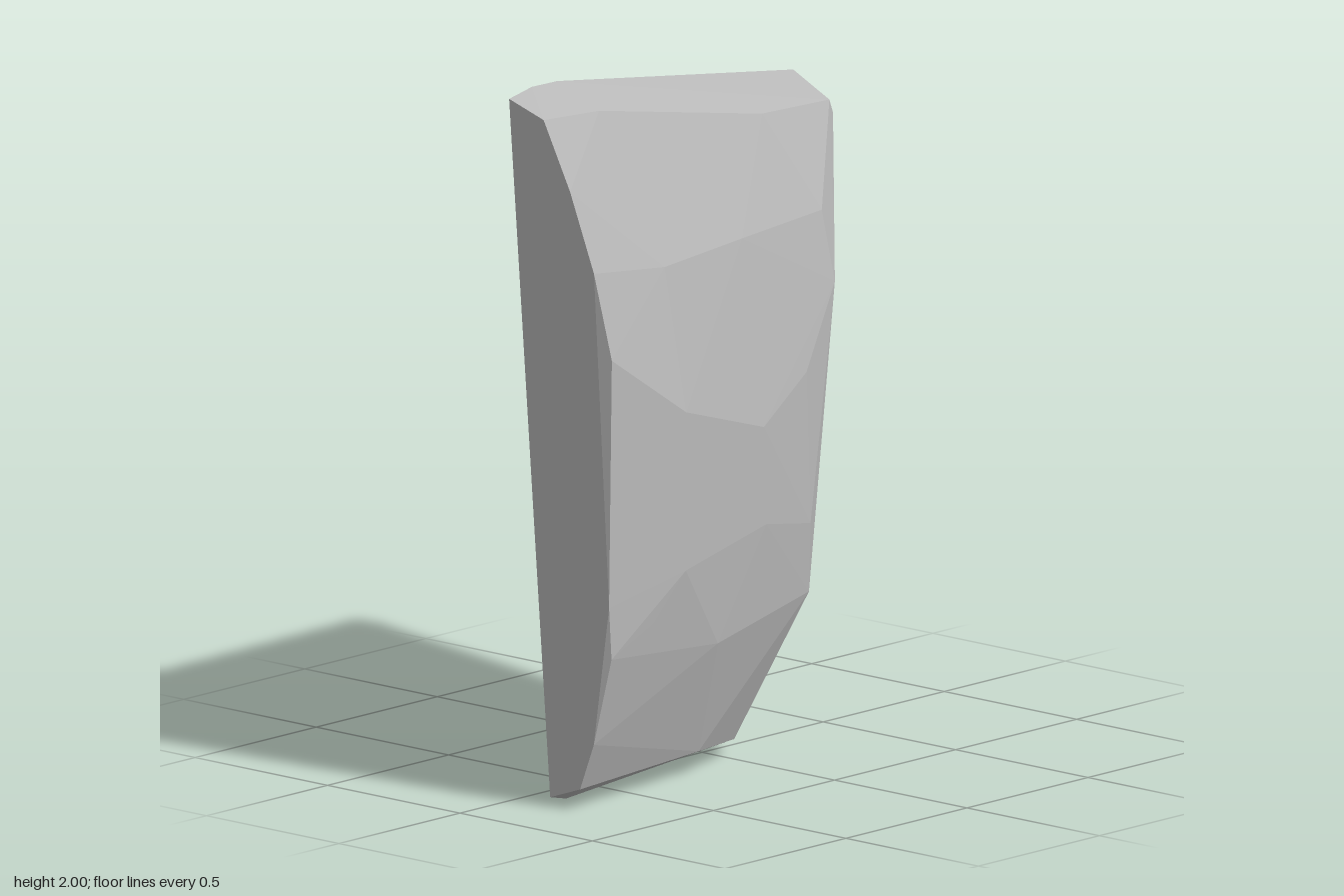
import * as THREE from 'three';
import { ConvexGeometry } from 'three/addons/geometries/ConvexGeometry.js';

const stone = new THREE.MeshStandardMaterial({ color: 0xb8b8b8, flatShading: true });
stone.name = 'grey stone';

// The inner side is one flat cut: x follows from y and z
const cut = (y, z) => [-0.028 - 0.09 * y + 0.19 * z, y, z];

export function createModel() {
  const group = new THREE.Group();
  group.name = 'rockShard';

  // Rim of the flat cut
  const innerRim = [
    cut(1.99, 0.72), cut(2.0, 0.6), cut(1.99, 0.47), cut(1.78, -0.735),
    cut(0.03, -0.055), cut(0.005, 0.18), cut(0.005, 0.67), cut(0.025, 0.75),
  ];
  // Outer edge of the narrow front face
  const frontEdge = [
    [0.06, 1.95, 0.72], [0.16, 1.76, 0.72], [0.25, 1.54, 0.72], [0.313, 1.3, 0.715],
    [0.33, 0.6, 0.745], [0.33, 0.45, 0.735], [0.275, 0.2, 0.748], [0.225, 0.065, 0.75],
  ];
  // Chipped top and back edges
  const topEdge = [[0.04, 1.93, 0.47], [-0.03, 1.78, -0.28], [-0.15, 1.73, -0.69]];
  const backEdge = [
    [-0.31, 1.73, -0.75], [-0.15, 1.69, -0.705], [0.09, 1.29, -0.45],
    [0.19, 0.65, -0.24], [0.175, 0.45, -0.25], [0.01, 0.37, -0.26],
    [0.085, 0.05, -0.04], [0.17, 0.07, 0.2],
  ];
  // Bulging outer side
  const bulge = [
    [0.315, 1.1, 0.41], [0.323, 0.65, 0.42], [0.32, 0.52, 0.55], [0.252, 0.98, 0.02],
    [0.252, 0.7, 0.01], [0.27, 0.4, 0.23], [0.175, 1.08, -0.24],
    [0.225, 1.5, 0.4], [0.15, 1.5, 0.0], [0.05, 1.49, -0.44],
    [0.235, 0.2, 0.45], [0.17, 0.2, 0.15],
  ];

  const points = [...innerRim, ...frontEdge, ...topEdge, ...backEdge, ...bulge]
    .map((p) => new THREE.Vector3(...p));
  const shard = new THREE.Mesh(new ConvexGeometry(points), stone);
  shard.name = 'shard';
  group.add(shard);
  return group;
}
